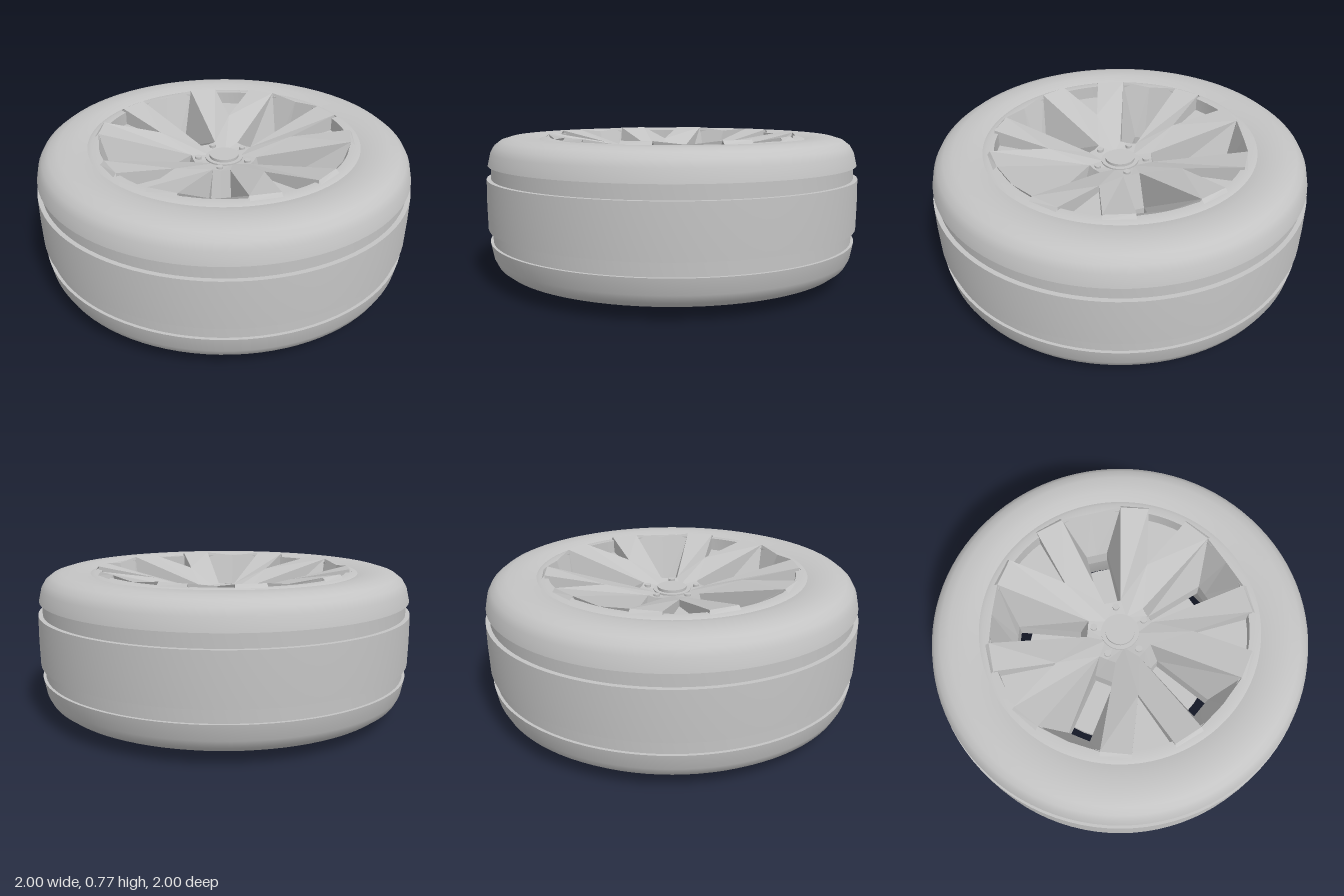
import * as THREE from 'three';
import { toCreasedNormals } from 'three/addons/utils/BufferGeometryUtils.js';

const DEG = Math.PI / 180;
const SPOKES = 5;
const FIRST = 6 * DEG; // direction of the first pocket

// Point given as radius, angle in degrees and height -> [along, across, up]
const polar = (r, deg, y) => [r * Math.cos(deg * DEG), r * Math.sin(deg * DEG), y];

// Repeats quads and triangles of one half sector around the wheel, mirrored in each sector
function radialFaces(faces) {
  const out = [];
  for (let k = 0; k < SPOKES; k++) {
    const a = FIRST + (k * 2 * Math.PI) / SPOKES;
    const c = Math.cos(a), s = Math.sin(a);
    for (const side of [1, -1]) {
      for (const face of faces) {
        const pts = face.map(([u, v, y]) => [u * c - side * v * s, y, u * s + side * v * c]);
        if (side < 0) pts.reverse();
        for (let i = 1; i < pts.length - 1; i++) out.push(...pts[0], ...pts[i], ...pts[i + 1]);
      }
    }
  }
  const g = new THREE.BufferGeometry();
  g.setAttribute('position', new THREE.Float32BufferAttribute(out, 3));
  g.computeVertexNormals();
  return g;
}

function lathe(points, segments = 96) {
  const g = new THREE.LatheGeometry(points.map(([x, y]) => new THREE.Vector2(x, y)), segments);
  return toCreasedNormals(g, 35 * DEG);
}

export function createModel() {
  const group = new THREE.Group();
  const grey = new THREE.MeshStandardMaterial({ color: 0xc4c4c4, side: THREE.DoubleSide });
  grey.name = 'light grey';

  const add = (name, geometry, x = 0, y = 0, z = 0) => {
    const mesh = new THREE.Mesh(geometry, grey);
    mesh.name = name;
    mesh.position.set(x, y, z);
    group.add(mesh);
    return mesh;
  };
  const cylinder = (name, r, y0, y1, x = 0, z = 0, n = 48) =>
    add(name, new THREE.CylinderGeometry(r, r, y1 - y0, n), x, (y0 + y1) / 2, z);

  // Tyre with rounded shoulders and two grooves in the tread
  add('tyre', lathe([
    [0.71, 0.065], [0.78, 0.057], [0.87, 0.056], [0.92, 0.068], [0.955, 0.095], [0.975, 0.135],
    [0.99, 0.215], [0.975, 0.215], [0.975, 0.285], [0.998, 0.285], [1, 0.415], [0.998, 0.545],
    [0.975, 0.545], [0.975, 0.615], [0.99, 0.615], [0.975, 0.68], [0.955, 0.715], [0.92, 0.742],
    [0.87, 0.757], [0.78, 0.76], [0.72, 0.745],
  ]));

  // Rim: open barrel at the back and a narrow ring around the face
  add('rimBarrel', lathe([[0.6, 0.36], [0.65, 0.075], [0.655, 0.068], [0.71, 0.065]]));
  add('rimRing', lathe([[0.72, 0.745], [0.7, 0.752], [0.66, 0.752], [0.66, 0.66]]));

  // Corners of one half sector, from the pocket axis to the notch axis
  const hub0 = [0.09, 0, 0.63], hub1 = polar(0.09, 36, 0.63);
  const in0 = [0.17, 0, 0.64], in1 = [0.17, 0.045, 0.645];
  const out0 = [0.66, 0, 0.752], out1 = polar(0.67, 14, 0.77);
  const apex = polar(0.38, 36, 0.715), fork = polar(0.68, 27, 0.77);
  const slot = [[0.22, 0, 0.45], [0.22, 0.055, 0.45], [0.565, 0.06, 0.45], [0.565, 0, 0.45]];
  const drop = (p, y) => [p[0], p[1], y];

  add('spokes', radialFaces([
    [hub0, hub1, in1, in0],
    [hub1, apex, in1],
    [in1, apex, fork, out1],
    [out1, fork, polar(0.695, 27, 0.752), polar(0.69, 14, 0.752)],
  ]));

  // Deep pockets narrowing to a slot that goes through the face
  const pocket = [
    [in0, in1, slot[1], slot[0]],
    [in1, out1, slot[2], slot[1]],
    [out1, out0, slot[3], slot[2]],
  ];
  for (let i = 0; i < 3; i++) {
    pocket.push([slot[i], slot[i + 1], drop(slot[i + 1], 0.36), drop(slot[i], 0.36)]);
  }
  add('pocketWalls', radialFaces(pocket));

  // Shallow notches that fork each spoke
  const apexLow = drop(apex, 0.68), forkLow = drop(fork, 0.68), midLow = polar(0.68, 36, 0.68);
  add('notches', radialFaces([
    [apex, apexLow, forkLow, fork],
    [apexLow, midLow, forkLow],
  ]));

  // Back plate of the face, pierced by the slots
  const plate = new THREE.Shape().absarc(0, 0, 0.605, 0, 2 * Math.PI);
  for (let k = 0; k < SPOKES; k++) {
    const a = FIRST + (k * 2 * Math.PI) / SPOKES;
    const corners = [[0.22, -0.055], [0.565, -0.06], [0.565, 0.06], [0.22, 0.055]].map(([u, v]) =>
      new THREE.Vector2(u * Math.cos(a) - v * Math.sin(a), u * Math.sin(a) + v * Math.cos(a)));
    plate.holes.push(new THREE.Path(corners));
  }
  add('backPlate', new THREE.ShapeGeometry(plate, 48).rotateX(Math.PI / 2), 0, 0.36, 0);

  // Brake disc and axle behind the face
  cylinder('brakeDisc', 0.51, 0.325, 0.355);
  cylinder('discHub', 0.4, 0.29, 0.33);
  cylinder('axle', 0.25, 0, 0.32);

  // Hub cap and small bolts
  cylinder('hubBase', 0.1, 0.56, 0.64, 0, 0, 32);
  cylinder('hubCap', 0.078, 0.6, 0.655, 0, 0, 32);
  for (let k = 0; k < SPOKES; k++) {
    const a = FIRST + 5 * DEG + (k * 2 * Math.PI) / SPOKES;
    cylinder('bolt', 0.018, 0.6, 0.65, 0.14 * Math.cos(a), 0.14 * Math.sin(a), 12);
  }

  return group;
}
